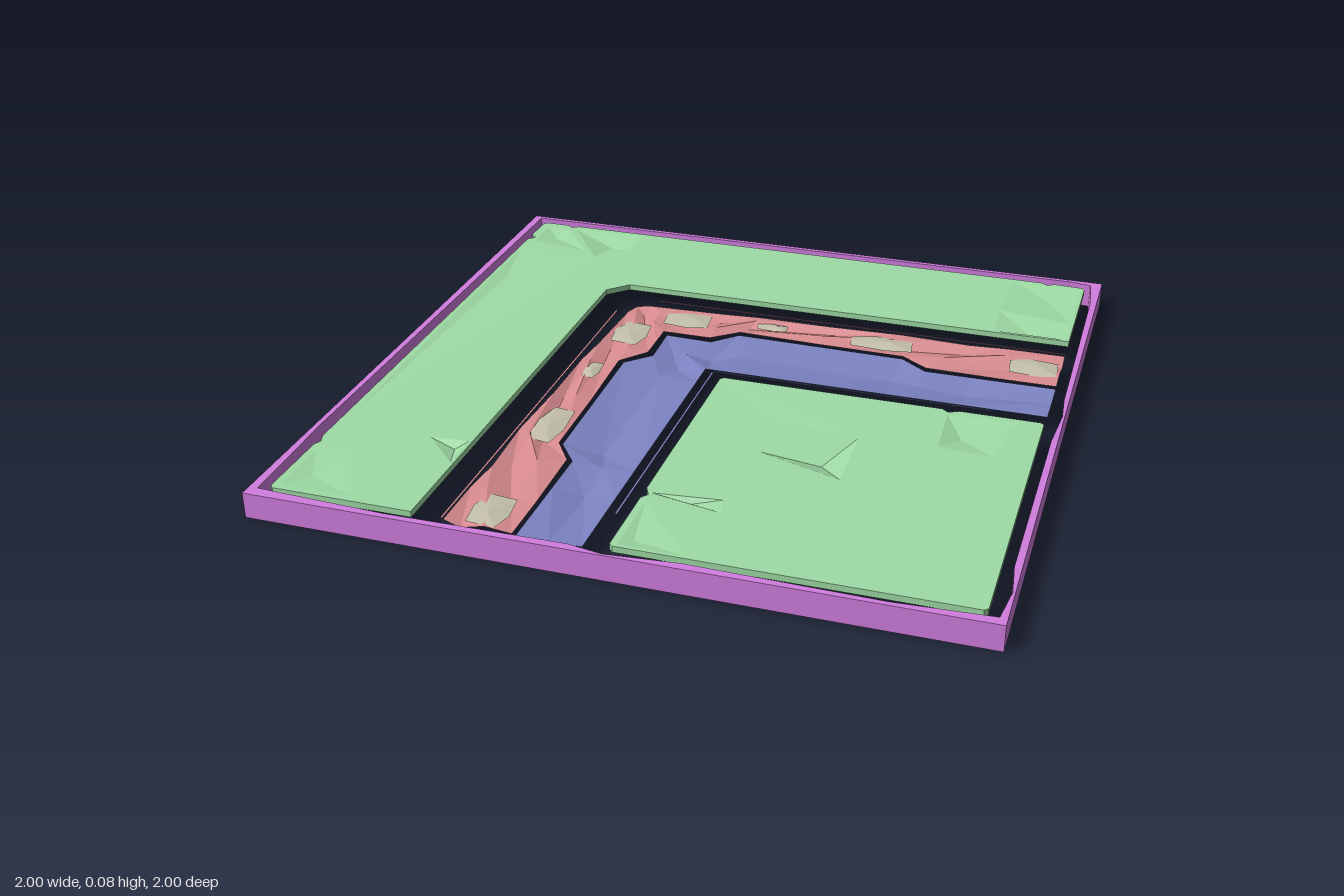
import * as THREE from 'three';

const material = (color) => new THREE.MeshStandardMaterial({ color, flatShading: true, side: THREE.DoubleSide });
const TOP = 0.073;

// Triangles from a list of [x, y, z] corners, three per face
function facets(name, corners, mat) {
  const geo = new THREE.BufferGeometry();
  geo.setAttribute('position', new THREE.Float32BufferAttribute(corners.flat(), 3));
  geo.computeVertexNormals();
  const mesh = new THREE.Mesh(geo, mat);
  mesh.name = name;
  return mesh;
}

// Quads between successive cross-sections
function loft(name, rows, mat) {
  const out = [];
  for (let i = 0; i < rows.length - 1; i++) {
    for (let j = 0; j < rows[i].length - 1; j++) {
      const [a, b, c, d] = [rows[i][j], rows[i][j + 1], rows[i + 1][j + 1], rows[i + 1][j]];
      out.push(a, b, c, a, c, d);
    }
  }
  return facets(name, out, mat);
}

// Fan around a raised or sunken centre point
function fan(name, rim, centre, y, dy, mat) {
  const out = [];
  rim.forEach(([x, z], i) => {
    const [u, w] = rim[(i + 1) % rim.length];
    out.push([x, y, z], [centre[0], y + dy, centre[1]], [u, y, w]);
  });
  return facets(name, out, mat);
}

const toPath = (pts) => pts.map(([x, z]) => new THREE.Vector2(x, z));

// Flat ground sheet with creased hollows and a short turned-down edge
function groundSheet(name, outline, hollows, mat) {
  const group = new THREE.Group();
  group.name = name;
  const shape = new THREE.Shape(toPath(outline));
  hollows.forEach((h) => shape.holes.push(new THREE.Path(toPath(h.rim))));
  const top = new THREE.Mesh(new THREE.ShapeGeometry(shape).rotateX(Math.PI / 2).translate(0, TOP, 0), mat);
  top.name = 'groundTop';
  group.add(top);
  hollows.forEach((h) => group.add(fan('groundHollow', h.rim, h.centre, TOP, h.dy, mat)));
  const edge = [...outline, outline[0]].map(([x, z]) => [[x, TOP, z], [x, TOP - 0.018, z]]);
  group.add(loft('groundEdge', edge, mat));
  return group;
}

export function createModel() {
  const model = new THREE.Group();
  model.name = 'cornerTile';
  const green = material(0x9fdca6);
  const blue = material(0x7c83c2);
  const red = material(0xd98c90);
  const cream = material(0xc4c0ac);
  const purple = material(0xd27ee0);

  // Outer frame with a slightly uneven inner line
  const ring = new THREE.Shape(toPath([[-1, -1], [1, -1], [1, 1], [-1, 1]]));
  ring.holes.push(new THREE.Path(toPath([
    [-0.975, -0.985], [0.9, -0.985], [0.965, -0.975], [0.98, -0.85], [0.985, -0.15], [0.993, -0.05],
    [0.982, 0.1], [0.98, 0.75], [0.993, 0.86], [0.98, 0.97], [0.72, 0.985], [0.2, 0.975],
    [0, 0.993], [-0.1, 0.975], [-0.6, 0.982], [-0.975, 0.965], [-0.985, 0.6],
  ])));
  const frame = new THREE.Mesh(
    new THREE.ExtrudeGeometry(ring, { depth: 0.075, bevelEnabled: false }).rotateX(Math.PI / 2).translate(0, 0.075, 0), purple);
  frame.name = 'frame';
  model.add(frame);

  // L-shaped outer ground
  model.add(groundSheet('outerGround', [
    [-0.95, -0.84], [-0.93, -0.82], [-0.95, -0.8], [-0.95, 0.66], [-0.94, 0.69], [-0.95, 0.71], [-0.95, 0.94], [-0.94, 0.95],
    [-0.54, 0.95], [-0.54, -0.48], [-0.48, -0.54], [0.95, -0.54], [0.95, -0.94], [0.94, -0.95],
    [0.85, -0.955], [0.83, -0.94], [0.81, -0.955], [-0.82, -0.955], [-0.84, -0.94], [-0.86, -0.955], [-0.94, -0.955], [-0.95, -0.94],
  ], [
    { rim: [[-0.82, -0.93], [-0.58, -0.94], [-0.58, -0.8], [-0.67, -0.72]], centre: [-0.66, -0.85], dy: -0.02 },
    { rim: [[-0.92, -0.92], [-0.85, -0.92], [-0.72, -0.76], [-0.92, -0.79]], centre: [-0.87, -0.86], dy: -0.012 },
    { rim: [[0.72, -0.94], [0.94, -0.93], [0.94, -0.67], [0.71, -0.71]], centre: [0.84, -0.85], dy: -0.015 },
    { rim: [[0.71, -0.7], [0.94, -0.66], [0.94, -0.55], [0.72, -0.55]], centre: [0.82, -0.58], dy: -0.015 },
    { rim: [[-0.94, -0.71], [-0.67, -0.71], [-0.93, 0.55]], centre: [-0.9, -0.5], dy: -0.008 },
    { rim: [[-0.66, 0.58], [-0.55, 0.57], [-0.55, 0.69]], centre: [-0.58, 0.6], dy: -0.015 },
    { rim: [[-0.93, 0.73], [-0.84, 0.7], [-0.72, 0.93], [-0.93, 0.93]], centre: [-0.88, 0.85], dy: -0.008 },
  ], green));

  // Square inner ground
  model.add(groundSheet('innerGround', [
    [0, 0.01], [0.01, 0], [0.66, 0], [0.68, 0.015], [0.71, 0], [0.94, 0], [0.95, 0.01], [0.95, 0.94], [0.94, 0.95],
    [0.01, 0.95], [0, 0.94], [0, 0.71], [0.015, 0.69], [0, 0.66],
  ], [
    { rim: [[0.01, 0.02], [0.47, 0.23], [0.23, 0.385], [0.02, 0.385]], centre: [0.22, 0.2], dy: -0.003 },
    { rim: [[0.23, 0.39], [0.47, 0.24], [0.475, 0.47]], centre: [0.4, 0.37], dy: -0.03 },
    { rim: [[0.68, 0.03], [0.88, 0.02], [0.84, 0.23], [0.69, 0.22]], centre: [0.74, 0.13], dy: -0.02 },
    { rim: [[0.02, 0.68], [0.21, 0.66], [0.22, 0.72]], centre: [0.13, 0.68], dy: -0.015 },
    { rim: [[0.02, 0.73], [0.2, 0.94], [0.02, 0.94]], centre: [0.05, 0.9], dy: -0.008 },
  ], green));

  // One arm is described, the other is its reflection across the diagonal
  const flip = ([x, y, z]) => [z, y, x];
  const bend = (arm) => [...arm, ...arm.slice(0, -1).reverse().map((row) => row.map(flip))];

  // Water: outer x, outer z, inner x, bed height
  const water = [
    [0.95, -0.25, 0.95, 0.052], [0.7, -0.25, 0.7, 0.036], [0.56, -0.25, 0.56, 0.048], [0.48, -0.31, 0.48, 0.036],
    [-0.04, -0.32, 0.02, 0.044], [-0.11, -0.25, -0.05, 0.034], [-0.255, -0.255, -0.07, 0.048],
  ];
  model.add(loft('water', bend(water.map(([x, z, u, y]) =>
    [[x, 0.055, z], [(x + u) / 2, y, (z - 0.07) / 2], [u, 0.055, -0.07]])), blue));

  // Rocky bank: outer x, outer z, inner x, inner z, ridge height
  const bank = [
    [0.95, -0.45, 0.95, -0.26, 0.05], [0.78, -0.45, 0.78, -0.26, 0.068], [0.66, -0.44, 0.56, -0.265, 0.05],
    [0.45, -0.45, 0.48, -0.32, 0.066], [0.22, -0.44, 0.22, -0.325, 0.05], [0, -0.44, -0.04, -0.335, 0.066],
    [-0.12, -0.43, -0.12, -0.27, 0.052], [-0.36, -0.42, -0.2, -0.27, 0.066], [-0.405, -0.405, -0.27, -0.27, 0.055],
  ];
  model.add(loft('rockyBank', bend(bank.map(([x, z, u, w, y]) => {
    const at = (t, h) => [x + (u - x) * t, h, z + (w - z) * t];
    return [at(0, 0.066), at(0.25, y), at(0.6, 0.116 - y), at(1, 0.058)];
  })), red));

  // Faceted stones on both arms of the bank: x, z, length, width
  const stones = [[0.87, -0.35, 0.15, 0.11], [0.4, -0.375, 0.2, 0.09], [0.05, -0.385, 0.1, 0.05], [-0.22, -0.36, 0.15, 0.11]];
  for (const [x, z, l, w] of stones) {
    for (const side of [0, 1]) {
      const rim = [[-0.5, -0.3], [-0.1, -0.5], [0.45, -0.4], [0.5, 0.35], [0.1, 0.5], [-0.45, 0.4]]
        .map(([a, b]) => [x + a * l, z + b * w]);
      const swap = (p) => (side ? [p[1], p[0]] : p);
      model.add(fan('stone', rim.map(swap), swap([x + 0.15 * l, z]), 0.064, 0.008, cream));
    }
  }

  // Narrow kerb slivers beside the water and the bank
  const kerb = (name, x0, x1, z, mat) => {
    const rows = [x0, x1].map((x) => [[x, 0.07, z - 0.003], [x, 0.07, z + 0.003]]);
    model.add(loft(name, rows, mat), loft(name, rows.map((r) => r.map(flip)), mat));
  };
  kerb('innerKerb', -0.03, 0.8, -0.035, blue);
  kerb('outerKerb', -0.35, 0.95, -0.455, red);

  return model;
}
